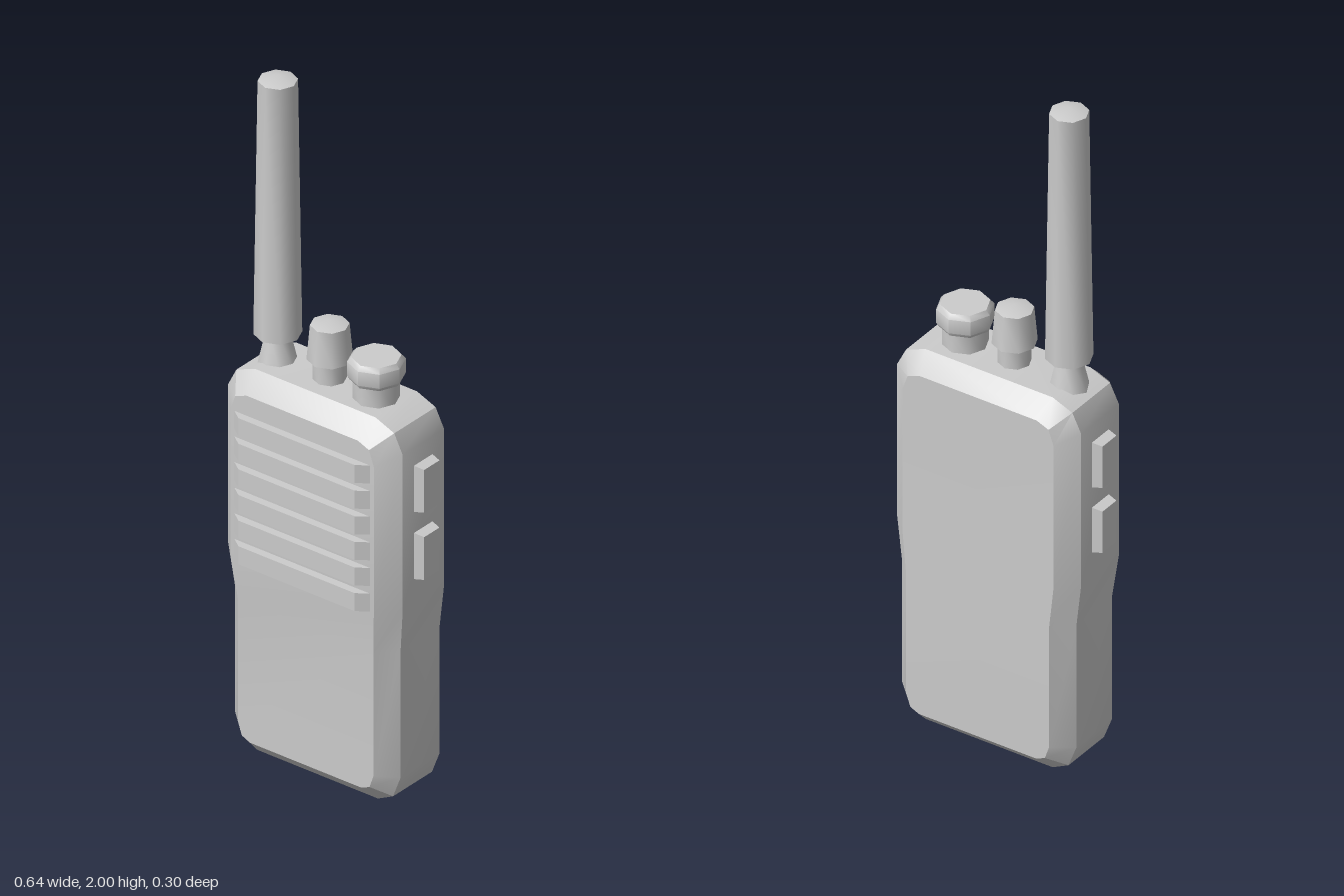
import * as THREE from 'three';
import { toCreasedNormals } from 'three/addons/utils/BufferGeometryUtils.js';

const material = new THREE.MeshStandardMaterial({ color: 0xcccccc });

function addMesh(parent, name, geometry, x = 0, y = 0, z = 0, crease = 0.5) {
  const mesh = new THREE.Mesh(toCreasedNormals(geometry, crease), material);
  mesh.name = name;
  mesh.position.set(x, y, z);
  parent.add(mesh);
  return mesh;
}

// Box whose +z face is narrowed by the given factors
function taperedBox(w, h, d, sx, sy) {
  const geometry = new THREE.BoxGeometry(w, h, d);
  const p = geometry.attributes.position;
  for (let i = 0; i < p.count; i++) {
    if (p.getZ(i) > 0) p.setXY(i, p.getX(i) * sx, p.getY(i) * sy);
  }
  return geometry;
}

// Eight-sided turned part from [radius, y] points
function turned(points) {
  return new THREE.LatheGeometry(points.map(([r, y]) => new THREE.Vector2(r, y)), 8);
}

// Chamfered case: four outline loops stacked from front to back
function bodyGeometry() {
  // Right half outlines, bottom to top
  const outer = [[0.2, 0], [0.25, 0.025], [0.275, 0.09], [0.275, 0.47],
    [0.29, 0.6], [0.29, 1.07], [0.262, 1.125], [0.2, 1.15]];
  const inner = [[0.185, 0.05], [0.212, 0.062], [0.225, 0.1], [0.225, 0.47],
    [0.238, 0.6], [0.238, 1.04], [0.222, 1.085], [0.185, 1.1]];
  const n = outer.length;
  const loop = (half, zLow, zHigh) => {
    const right = half.map(([x, y], i) => [x, y, i < 4 ? zLow : zHigh]);
    return [...right, ...right.map(([x, y, z]) => [-x, y, z]).reverse()];
  };
  const loops = [
    loop(inner, 0.115, 0.13),
    loop(outer, 0.065, 0.075),
    loop(outer, -0.097, -0.097),
    loop(inner, -0.15, -0.148),
  ];
  const m = 2 * n;
  const index = [];
  const quad = (a, b, c, d) => index.push(a, b, c, a, c, d);
  // Front chamfer, side wall and back chamfer
  for (let k = 0; k < 3; k++) {
    for (let i = 0; i < m; i++) {
      const j = (i + 1) % m;
      quad(k * m + i, (k + 1) * m + i, (k + 1) * m + j, k * m + j);
    }
  }
  // Front and back panels, in strips across the width
  for (let i = 0; i < n - 1; i++) {
    const l = m - 1 - i, b = 3 * m;
    quad(l, i, i + 1, l - 1);
    quad(b + i, b + l, b + l - 1, b + i + 1);
  }
  const geometry = new THREE.BufferGeometry();
  geometry.setAttribute('position', new THREE.Float32BufferAttribute(loops.flat(2), 3));
  geometry.setIndex(index);
  return geometry;
}

export function createModel() {
  const model = new THREE.Group();
  model.name = 'handheldRadio';

  addMesh(model, 'body', bodyGeometry());

  // Speaker grille ribs
  const grille = new THREE.Group();
  grille.name = 'speakerGrille';
  model.add(grille);
  for (let i = 0; i < 6; i++) {
    addMesh(grille, 'grilleRib', taperedBox(0.47, 0.054, 0.03, 0.82, 1),
      0, 1.013 - i * 0.077, 0.138);
  }

  // Two buttons on each side
  for (const side of [1, -1]) {
    for (const y of [0.947, 0.745]) {
      const button = addMesh(model, side > 0 ? 'leftButton' : 'rightButton',
        taperedBox(0.086, 0.146, 0.05, 0.74, 0.88), side * 0.294, y, -0.01);
      button.rotation.y = side * Math.PI / 2;
    }
  }

  // Antenna with its flared foot
  addMesh(model, 'antennaBase', turned([[0.055, 1.13], [0.032, 1.23]]), -0.19, 0, -0.007, 0.85);
  addMesh(model, 'antenna', turned([[0, 1.225], [0.064, 1.225], [0.053, 1.985], [0, 2]]),
    -0.19, 0, -0.007, 0.85);

  // Channel knob and volume knob on their stems
  addMesh(model, 'channelKnobStem', turned([[0.045, 1.13], [0.045, 1.22]]), -0.02, 0, -0.01, 0.85);
  addMesh(model, 'channelKnob', turned([[0, 1.21], [0.061, 1.21], [0.052, 1.312], [0, 1.325]]),
    -0.02, 0, -0.01, 0.85);
  addMesh(model, 'volumeKnobStem', turned([[0.062, 1.13], [0.062, 1.215]]), 0.135, 0, -0.01, 0.85);
  addMesh(model, 'volumeKnob',
    turned([[0, 1.207], [0.07, 1.207], [0.077, 1.218], [0.077, 1.26], [0.066, 1.273], [0, 1.273]]),
    0.135, 0, -0.01, 0.85);

  return model;
}
